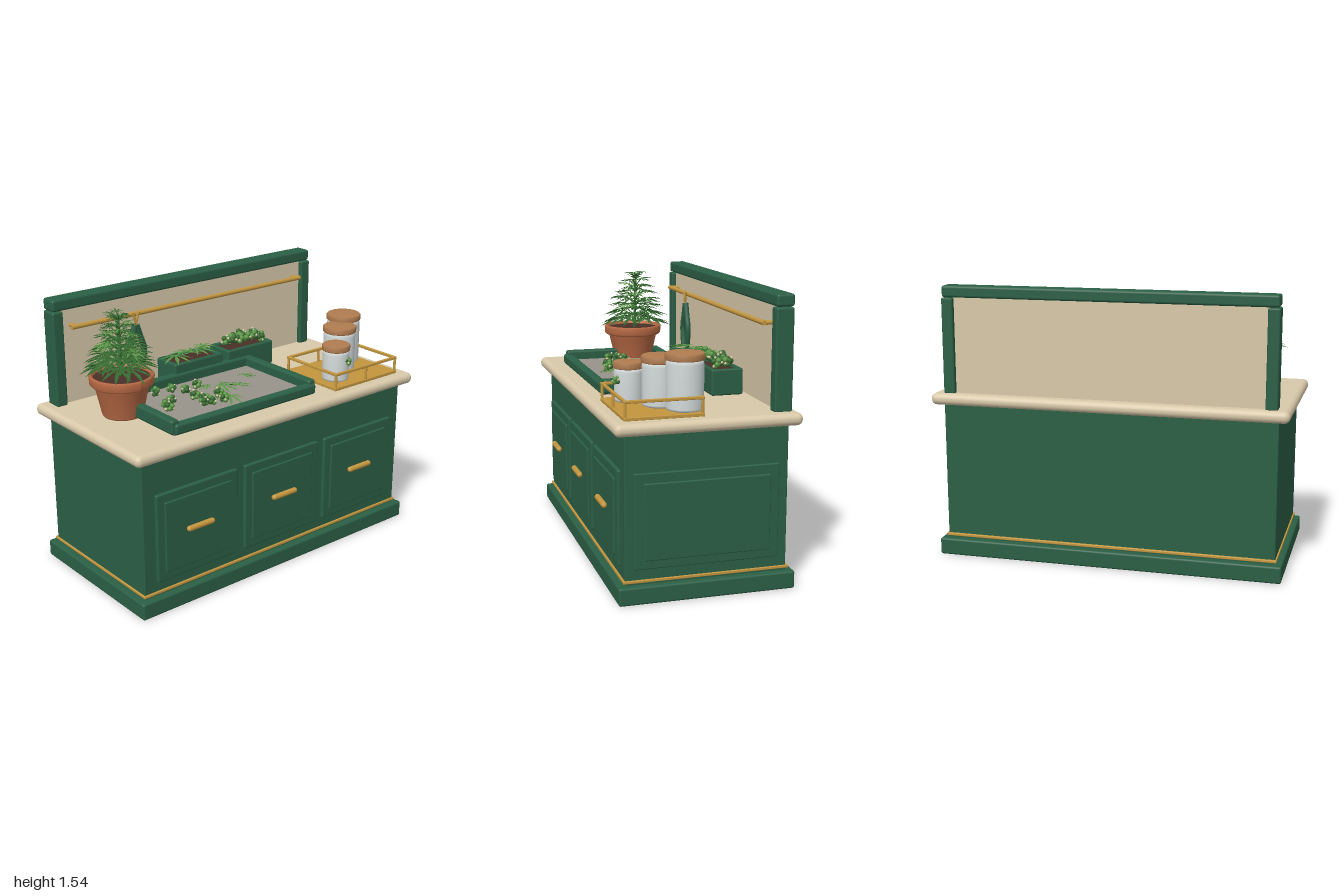
import * as THREE from 'three';
import { RoundedBoxGeometry } from 'three/addons/geometries/RoundedBoxGeometry.js';

const mat = (name, color, side = THREE.FrontSide) => {
  const m = new THREE.MeshStandardMaterial({ color, side });
  m.name = name;
  return m;
};

export function createModel() {
  const root = new THREE.Group();
  root.name = 'pottingBench';
  const green = mat('paintedGreen', 0x2b5f45);
  const cream = mat('creamStone', 0xd8c9a9);
  const gold = mat('brass', 0xc3963f);
  const clay = mat('terracotta', 0xb96a45);
  const soil = mat('soil', 0x4a3028);
  const mesh = mat('greyScreen', 0x99938a);
  const glass = mat('frostedGlass', 0xd3dada);
  const cork = mat('cork', 0xb07c50);
  const leafDark = mat('darkLeaf', 0x35692f, THREE.DoubleSide);
  const leafLight = mat('lightLeaf', 0x5a9644, THREE.DoubleSide);

  let seed = 7;
  const rnd = () => (seed = (seed * 16807) % 2147483647) / 2147483647;

  const group = (name, parent = root) => {
    const g = new THREE.Group();
    g.name = name;
    parent.add(g);
    return g;
  };
  const add = (name, geo, m, x = 0, y = 0, z = 0, parent = root) => {
    const o = new THREE.Mesh(geo, m);
    o.name = name;
    o.position.set(x, y, z);
    parent.add(o);
    return o;
  };
  // Rounded box given by its limits on each axis
  const box = (name, m, x0, x1, y0, y1, z0, z1, r = 0.01, parent = root) => {
    const s = [x1 - x0, y1 - y0, z1 - z0];
    const geo = new RoundedBoxGeometry(...s, 3, Math.min(r, Math.min(...s) * 0.48));
    return add(name, geo, m, (x0 + x1) / 2, (y0 + y1) / 2, (z0 + z1) / 2, parent);
  };
  // Round bar between two points
  const bar = (name, m, a, b, r, parent = root) => {
    const A = new THREE.Vector3(...a), d = new THREE.Vector3(...b).sub(A);
    const o = add(name, new THREE.CylinderGeometry(r, r, d.length(), 12), m, 0, 0, 0, parent);
    o.position.copy(A).addScaledVector(d, 0.5);
    o.quaternion.setFromUnitVectors(new THREE.Vector3(0, 1, 0), d.normalize());
    return o;
  };

  // Cabinet
  box('plinth', green, -0.978, 0.978, 0, 0.096, -0.475, 0.475, 0.012);
  box('body', green, -0.94, 0.94, 0.09, 0.885, -0.435, 0.435, 0.006);
  box('brassTrim', gold, -0.948, 0.948, 0.106, 0.122, -0.448, 0.445, 0.004);
  box('countertop', cream, -1, 1, 0.88, 0.945, -0.495, 0.495, 0.031);
  box('sidePanel', green, 0.93, 0.953, 0.178, 0.682, -0.385, 0.388, 0.006);
  box('sidePanelInner', green, 0.94, 0.965, 0.225, 0.63, -0.335, 0.338, 0.006);

  // Drawers
  for (const x of [-0.593, 0, 0.593]) {
    const d = group('drawer');
    box('drawerFront', green, x - 0.27, x + 0.27, 0.177, 0.683, 0.425, 0.453, 0.008, d);
    box('drawerInner', green, x - 0.222, x + 0.222, 0.225, 0.632, 0.44, 0.462, 0.006, d);
    const h = add('drawerHandle', new THREE.CapsuleGeometry(0.016, 0.15, 6, 14), gold, x, 0.445, 0.474, d);
    h.rotation.z = Math.PI / 2;
  }

  // Back splash, posts and top rail
  for (const s of [-1, 1]) box('post', green, s * 0.9 - 0.033, s * 0.9 + 0.033, 0.94, 1.477, -0.455, -0.357, 0.01);
  box('topRail', green, -0.93, 0.928, 1.48, 1.545, -0.458, -0.36, 0.014);
  box('backsplash', cream, -0.875, 0.875, 0.94, 1.482, -0.43, -0.385, 0.003);

  // Hanging rod
  bar('hangingRod', gold, [-0.835, 1.388, -0.333], [0.828, 1.388, -0.333], 0.013);
  for (const s of [-0.81, 0.81]) bar('rodBracket', gold, [s, 1.388, -0.333], [s, 1.388, -0.39], 0.012);

  // Shears hanging from the rod
  const shears = group('shears');
  shears.position.set(-0.433, 0, -0.312);
  for (const s of [-1, 1]) {
    const path = new THREE.CatmullRomCurve3([[0.004, 1.335], [0.03, 1.255], [0.052, 1.19], [0.047, 1.13], [0.035, 1.08]]
      .map(([x, y]) => new THREE.Vector3(s * x, y, 0)));
    add('shearHandle', new THREE.TubeGeometry(path, 20, 0.017, 10), green, 0, 0, 0, shears);
    add('handleEnd', new THREE.SphereGeometry(0.017, 12, 8), green, s * 0.035, 1.08, 0, shears);
    bar('shearBlade', gold, [-s * 0.004, 1.325, 0.004], [s * 0.018, 1.405, 0.004], 0.007, shears);
  }

  // Sifting tray
  const tray = group('siftingTray');
  box('trayScreen', mesh, -0.69, 0.28, 0.945, 0.978, -0.19, 0.38, 0.004, tray);
  box('trayFront', green, -0.69, 0.292, 0.953, 1.012, 0.348, 0.402, 0.014, tray);
  box('trayBack', green, -0.708, 0.302, 0.953, 1.035, -0.212, -0.162, 0.014, tray);
  for (const x of [-0.683, 0.277]) box('traySide', green, x - 0.026, x + 0.026, 0.953, 1.033, -0.195, 0.385, 0.014, tray);

  // Planter boxes: four walls round a soil bed
  for (const x of [-0.088, 0.3]) {
    const p = group('planter');
    for (const s of [-1, 1]) {
      box('planterEnd', green, x + s * 0.16 - 0.014, x + s * 0.16 + 0.014, 0.945, 1.09, -0.355, -0.176, 0.01, p);
      box('planterSide', green, x - 0.174, x + 0.174, 0.945, 1.09, -0.266 + s * 0.076 - 0.014, -0.266 + s * 0.076 + 0.014, 0.01, p);
    }
    box('planterSoil', soil, x - 0.155, x + 0.155, 0.95, 1.077, -0.335, -0.196, 0.004, p);
  }

  // Hand-shaped leaf with pointed fingers, pointing to +z and drooping
  const fingers = 7, pts = [];
  for (let i = 0; i < fingers; i++) {
    const a = (i / (fingers - 1) - 0.5) * 3.9;
    const len = 0.38 + 0.62 * Math.cos(a * 0.62) ** 1.3;
    const at = (r, w) => pts.push(new THREE.Vector2(r * Math.sin(a) + w * Math.cos(a), r * Math.cos(a) - w * Math.sin(a)));
    at(0.1, -0.03);
    at(len * 0.55, -0.085 * len);
    at(len, 0);
    at(len * 0.55, 0.085 * len);
    at(0.1, 0.03);
  }
  const leafGeo = new THREE.ShapeGeometry(new THREE.Shape(pts)).rotateX(Math.PI / 2);
  const lp = leafGeo.attributes.position;
  for (let i = 0; i < lp.count; i++) lp.setY(i, -0.22 * (lp.getX(i) ** 2 + lp.getZ(i) ** 2));
  leafGeo.computeVertexNormals();
  const leaf = (m, size, x, y, z, yaw, pitch, parent) => {
    const o = add('leaf', leafGeo, m, x, y, z, parent);
    o.scale.setScalar(size);
    o.rotation.set(pitch, yaw, 0, 'YXZ');
    return o;
  };

  // Terracotta pot
  const pot = group('flowerPot');
  pot.position.set(-0.713, 0.945, -0.05);
  const prof = [[0, 0], [0.105, 0], [0.112, 0.01], [0.148, 0.17], [0.165, 0.175], [0.174, 0.185], [0.177, 0.222],
    [0.17, 0.232], [0.158, 0.23], [0.15, 0.2]].map(([r, y]) => new THREE.Vector2(r, y));
  const potMesh = add('potBody', new THREE.LatheGeometry(prof, 40), clay, 0, 0, 0, pot);
  potMesh.geometry.computeVertexNormals();
  add('potSoil', new THREE.CylinderGeometry(0.154, 0.15, 0.02, 32), soil, 0, 0.205, 0, pot);

  // Bushy plant: tiers of leaves narrowing upward
  const plant = group('pottedPlant');
  plant.position.set(-0.71, 0, -0.07);
  bar('stem', leafDark, [0, 1.14, 0.01], [0, 1.48, 0], 0.008, plant);
  for (let t = 0; t < 8; t++) {
    const k = t / 7, y = 1.2 + 0.27 * k, r = 0.23 - 0.15 * k, n = t < 5 ? 8 : 6;
    for (let i = 0; i < n; i++) {
      const a = (i + rnd() * 0.4) / n * Math.PI * 2 + t * 0.5, reach = r * (0.92 + rnd() * 0.12);
      const x = Math.sin(a) * reach * 0.38, z = Math.cos(a) * reach * 0.38;
      const ly = y + 0.02 + rnd() * 0.02;
      bar('leafStalk', leafDark, [0, y - 0.01, 0], [x, ly, z], 0.003, plant);
      leaf(rnd() < 0.2 ? leafLight : leafDark, reach * 0.64, x, ly, z, a, -0.1 + rnd() * 0.35 - k * 0.25, plant);
    }
  }
  for (let i = 0; i < 5; i++) leaf(leafDark, 0.055, 0, 1.475, 0, i * 1.26, -0.75, plant);

  // Flower bud: clustered green lobes, small leaves and pale tips
  const lobe = new THREE.IcosahedronGeometry(1, 1);
  const bud = (x, y, z, s = 0.03, parent = root) => {
    const g = group('bud', parent);
    g.position.set(x, y, z);
    g.rotation.set(rnd() - 0.5, rnd() * 6, rnd() - 0.5);
    g.scale.setScalar(s);
    for (let i = 0; i < 7; i++) {
      const a = i * 2.4, h = -0.5 + i * 0.17, w = 0.6 - Math.abs(h) * 0.35;
      add('budLobe', lobe, i % 3 ? leafDark : leafLight, Math.sin(a) * w, h, Math.cos(a) * w, g).scale.setScalar(0.5);
    }
    for (let i = 0; i < 3; i++) {
      const a = i * 2.1;
      add('budTip', lobe, cream, Math.sin(a) * 0.85, -0.35 + i * 0.4, Math.cos(a) * 0.85, g).scale.setScalar(0.24);
      leaf(leafDark, 0.75, Math.sin(a + 1) * 0.5, 0.1, Math.cos(a + 1) * 0.5, a + 1, -0.5, g);
    }
  };

  // Buds and loose leaves lying on the tray
  const harvest = group('harvest');
  for (const [x, z] of [[-0.47, -0.09], [-0.365, -0.08], [-0.32, -0.01], [-0.215, -0.04], [-0.475, 0.07], [-0.53, 0.095],
    [-0.545, 0.145], [-0.33, 0.09], [-0.315, 0.155], [-0.35, 0.2], [-0.205, 0.145], [-0.23, 0.225], [-0.315, 0.215]])
    bud(x, 1.005, z, 0.028, harvest);
  for (const [x, z, a, s] of [[-0.1, 0.03, 0.5, 0.12], [0.1, 0, 1.9, 0.09], [-0.17, 0.2, -0.6, 0.11],
    [-0.03, 0.1, 2.2, 0.11], [-0.17, 0.01, 4, 0.08]])
    leaf(leafLight, s, x, 0.998, z, a, 0, harvest);

  // Planter contents
  for (const [x, z, a, s] of [[-0.2, -0.26, -0.5, 0.14], [-0.03, -0.28, 0.7, 0.12], [-0.09, -0.25, 2.6, 0.12],
    [0.02, -0.3, 1.9, 0.1], [-0.13, -0.28, 3.6, 0.08]])
    leaf(leafLight, s, x, 1.115, z, a, -0.1, harvest);
  for (let i = 0; i < 10; i++)
    bud(0.2 + (i % 5) * 0.053, 1.115 + rnd() * 0.025, -0.295 + Math.floor(i / 5) * 0.06 + rnd() * 0.01, 0.032, harvest);

  // Brass caddy with railings
  const caddy = group('jarCaddy');
  box('caddyBase', gold, 0.418, 0.92, 0.943, 0.963, 0.01, 0.43, 0.004, caddy);
  const [l, r, b, f] = [0.427, 0.911, 0.02, 0.421];
  for (const [x, z] of [[l, b], [l, f], [r, b], [r, f], [(l + r) / 2, f], [(l + r) / 2, b]])
    bar('caddyPost', gold, [x, 0.95, z], [x, 1.045, z], 0.008, caddy);
  for (const z of [b, f]) box('caddyRail', gold, l - 0.009, r + 0.009, 1.032, 1.048, z - 0.008, z + 0.008, 0.004, caddy);
  for (const x of [l, r]) box('caddyRail', gold, x - 0.008, x + 0.008, 1.032, 1.048, b - 0.009, f + 0.009, 0.004, caddy);

  // Storage jars with cork lids
  for (const [x, z, rad, top] of [[0.535, 0.305, 0.077, 1.175], [0.685, 0.178, 0.094, 1.226], [0.81, 0.083, 0.098, 1.256]]) {
    const jar = group('jar');
    const h = top - 0.035 - 0.963;
    const p = [[0, 0], [rad - 0.012, 0], [rad - 0.003, 0.004], [rad, 0.014], [rad, h - 0.02], [rad - 0.008, h], [0, h]];
    add('jarBody', new THREE.LatheGeometry(p.map(([a, c]) => new THREE.Vector2(a, c)), 36), glass, x, 0.963, z, jar);
    const q = [[0, 0], [rad, 0], [rad + 0.004, 0.005], [rad + 0.004, 0.03], [rad - 0.002, 0.036], [0, 0.036]];
    add('jarLid', new THREE.LatheGeometry(q.map(([a, c]) => new THREE.Vector2(a, c)), 36), cork, x, top - 0.036, z, jar);
  }
  bud(0.562, 1.08, 0.372, 0.026, harvest);
  return root;
}
